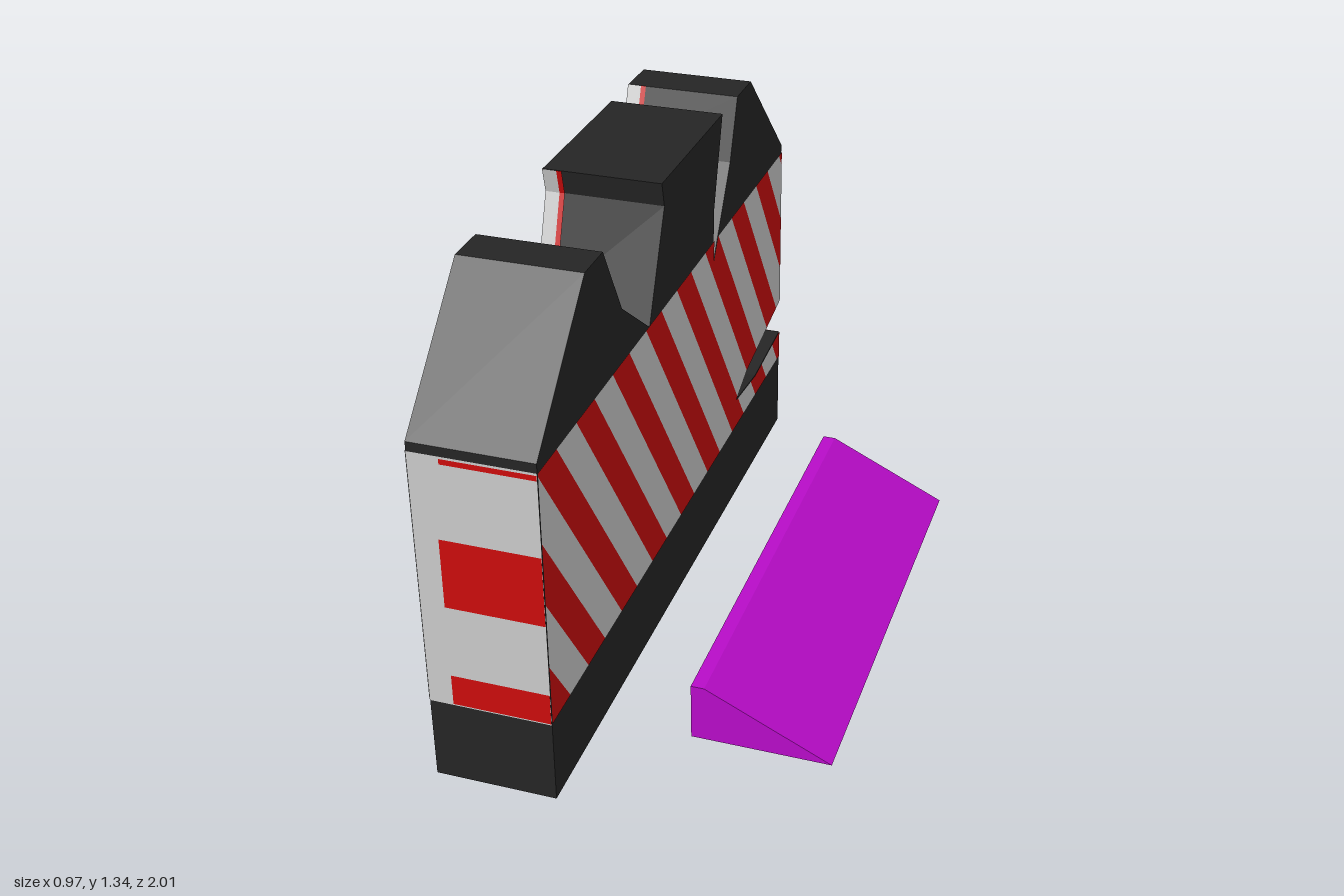
import * as THREE from 'three';

const mat = (name, color, side = THREE.FrontSide) => {
  const m = new THREE.MeshStandardMaterial({ color, side });
  m.name = name;
  return m;
};

const X0 = -0.485, X1 = -0.152, LOW = 0.245, HIGH = 0.98, EPS = 0.002;

// Wall outline as [z, y], with two notches on top and a crack at the back
const crackTop = [[-0.52, 0.337], [-0.635, 0.385], [-1, 0.455]];
const crackBottom = [[-0.52, 0.337], [-0.73, 0.315], [-1, 0.337]];
const outline = [
  [1, 0], [1, 1.005], [0.665, 1.335], [0.545, 1.335], [0.43, 1.125], [0.235, 0.975],
  [0.102, 1.265], [0.118, 1.335], [-0.395, 1.335], [-0.315, 1.075], [-0.305, 0.915],
  [-0.465, 1.16], [-0.535, 1.335], [-0.665, 1.335], [-1, 1.005],
  ...[...crackTop].reverse(), ...crackBottom.slice(1), [-1, 0],
];

// Convex pieces of the striped band, as [z, y]
const cells = [
  [[1, LOW], [-0.305, LOW], [-0.305, 0.915], [-0.309, HIGH], [1, HIGH]],
  [[-0.305, LOW], [-0.52, LOW], [-0.52, HIGH], [-0.347, HIGH], [-0.305, 0.915]],
  [crackTop[0], crackTop[1], [-0.635, HIGH], [-0.52, HIGH]],
  [crackTop[1], crackTop[2], [-1, HIGH], [-0.635, HIGH]],
  [[-0.52, LOW], [-0.73, LOW], crackBottom[1], crackBottom[0]],
  [[-0.73, LOW], [-1, LOW], crackBottom[2], crackBottom[1]],
];

// Keep the part of a polygon where f(point) >= 0
function clip(poly, f) {
  const out = [];
  poly.forEach((a, i) => {
    const b = poly[(i + 1) % poly.length], fa = f(a), fb = f(b);
    if (fa >= 0) out.push(a);
    if (fa * fb < 0) {
      const t = fa / (fa - fb);
      out.push([a[0] + (b[0] - a[0]) * t, a[1] + (b[1] - a[1]) * t]);
    }
  });
  return out;
}

// Fan-triangulated convex polygons given as lists of [x, y, z]
function faces(polys) {
  const pos = [];
  for (const p of polys)
    for (let i = 1; i < p.length - 1; i++) pos.push(...p[0], ...p[i], ...p[i + 1]);
  const g = new THREE.BufferGeometry();
  g.setAttribute('position', new THREE.Float32BufferAttribute(pos, 3));
  g.computeVertexNormals();
  return g;
}

export function createModel() {
  const black = mat('black', 0x252525);
  const magenta = mat('magenta', 0xb80cc8);
  const grey = mat('light grey', 0xcacaca, THREE.DoubleSide);
  const red = mat('red', 0xcb0c0c, THREE.DoubleSide);
  const model = new THREE.Group();
  const add = (name, geo, material) => {
    const m = new THREE.Mesh(geo, material);
    m.name = name;
    model.add(m);
  };

  // Wall: outline extruded across x; the front notch slants on the far side
  const shape = new THREE.Shape(outline.map(([z, y]) => new THREE.Vector2(-z, y)));
  const wall = new THREE.ExtrudeGeometry(shape, { depth: X1 - X0, bevelEnabled: false });
  wall.rotateY(Math.PI / 2).translate(X0, 0, 0);
  const p = wall.attributes.position;
  for (let i = 0; i < p.count; i++) {
    if (p.getX(i) < -0.4 && Math.abs(p.getZ(i) - 0.235) < 0.01) p.setXYZ(i, X0, 0.963, 0.208);
  }
  wall.computeVertexNormals();
  add('brokenWall', wall, black);

  // Slanted stripes on the side
  const period = 0.247, width = 0.12, slope = 0.68;
  const across = ([z, y]) => z + (y - HIGH) * -slope;
  const stripes = { red: [], grey: [] };
  for (let k = -5; k < 12; k++) {
    const hi = 0.76 - k * period;
    for (const [key, a, b] of [['red', hi - width, hi], ['grey', hi - period, hi - width]]) {
      for (const cell of cells) {
        const q = clip(clip(cell, (c) => across(c) - a), (c) => b - across(c));
        if (q.length > 2) stripes[key].push(q.map(([z, y]) => [X1 + EPS, y, z]));
      }
    }
  }
  add('sideRedStripes', faces(stripes.red), red);
  add('sideGreyStripes', faces(stripes.grey), grey);

  // Painted rectangles on the two ends
  const rect = (x0, x1, y0, y1, z) => [[x0, y0, z], [x1, y0, z], [x1, y1, z], [x0, y1, z]];
  add('frontEndGrey', faces([rect(X0, X1, 0.24, HIGH, 1 + EPS)]), grey);
  add('frontEndRed', faces([[0.245, 0.335], [0.545, 0.745], [0.96, 0.975]].map(
    ([a, b]) => rect(b > 0.9 ? -0.4 : -0.418, X1, a, b, 1 + 2 * EPS))), red);
  const back = (x0, x1, a, b) => rect(x1, x0, a, b, -1 - EPS);
  add('backEndGrey', faces([[LOW, 0.337], [0.455, HIGH]].map(([a, b]) => back(-0.185, X1, a, b))), grey);
  add('backEndRed', faces([[0.31, 0.337], [0.455, 0.51], [0.71, 0.925]].map(
    ([a, b]) => back(-0.447, -0.185, a, b))), red);

  // Wrapped edge on the far side
  const fx = X0 - EPS;
  add('farEdgeGrey', faces([[[fx, 0.24, 0.965], [fx, 0.24, 1], [fx, HIGH, 1], [fx, HIGH, 0.965]]]), grey);

  // Paint lines along the broken surfaces; each path has an outward [z, y] nudge
  const lines = [
    [[[0.35, 1.066], [0.21, 0.965]], [-0.002, 0.003]],
    [[[0.21, 0.965], [0.102, 1.265], [0.118, 1.335]], [0.004, 0.001]],
    [[[-0.305, 0.915], [-0.315, 1.05]], [-0.003, 0]],
    [[[-0.305, 0.915], [-0.465, 1.16], [-0.535, 1.335]], [0.003, 0.002]],
    [crackBottom, [0, 0.003]],
  ];
  const ribbon = (x0, x1) => faces(lines.flatMap(([path, [dz, dy]]) =>
    path.slice(1).map(([z1, y1], i) => {
      const [z0, y0] = path[i];
      return [[x0, y0 + dy, z0 + dz], [x1, y0 + dy, z0 + dz], [x1, y1 + dy, z1 + dz], [x0, y1 + dy, z1 + dz]];
    })));
  add('breakGreyLines', ribbon(X0, -0.445), grey);
  add('breakRedLines', ribbon(-0.445, -0.43), red);

  // Separate wedge ramp
  const ramp = new THREE.Shape([[0.098, 0], [0.485, 0], [0.135, 0.168], [0.098, 0.168]].map(
    ([x, y]) => new THREE.Vector2(x, y)));
  const rampGeo = new THREE.ExtrudeGeometry(ramp, { depth: 1.33, bevelEnabled: false });
  add('wedgeRamp', rampGeo.translate(0, 0, -0.665), magenta);

  return model;
}
